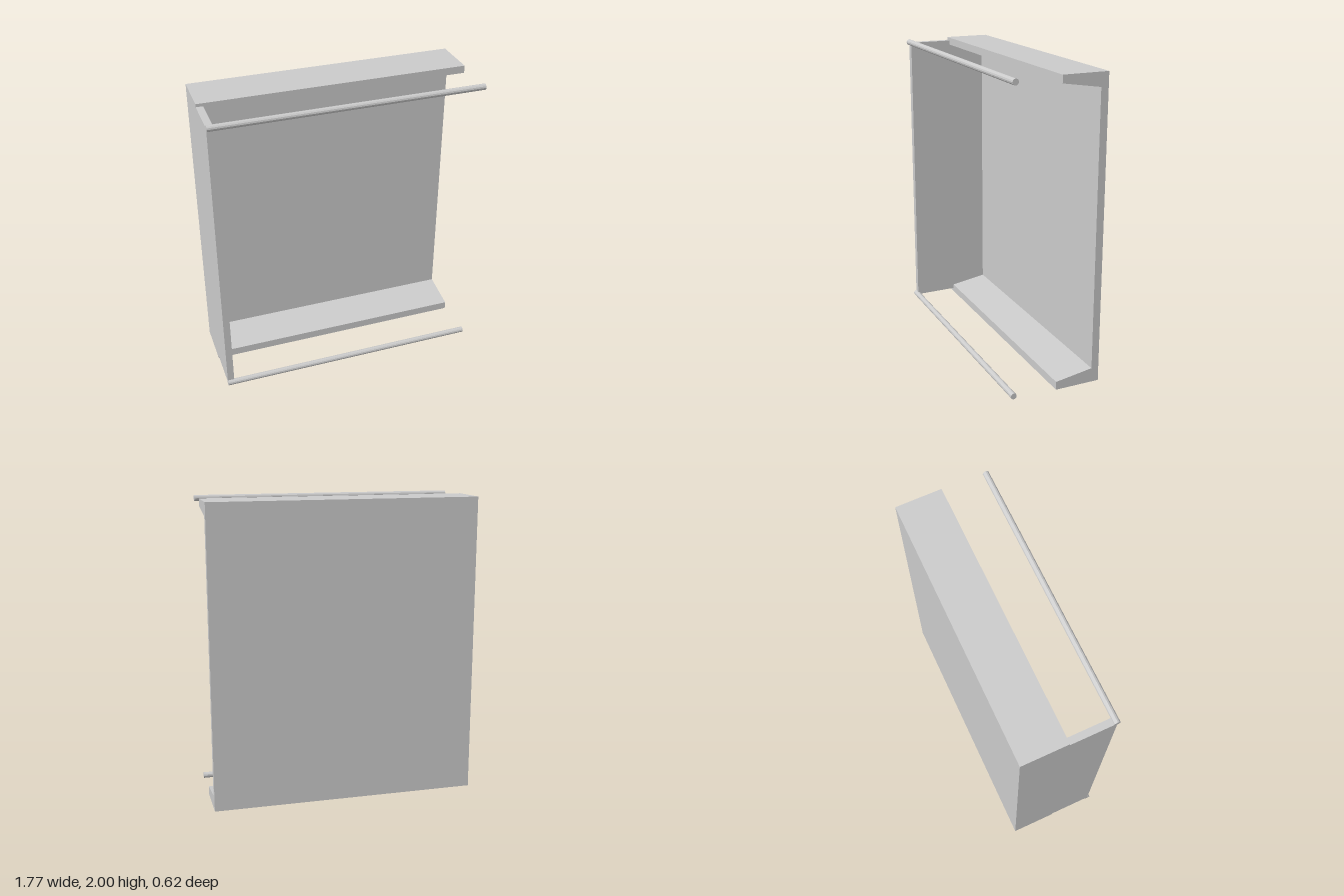
import * as THREE from 'three';

const HALF_WIDTH = 0.885;
const material = new THREE.MeshStandardMaterial({ color: 0xcccccc, flatShading: true });

// Extrudes a [z, y] outline along x, from x0 to x1
function extrudeAlongX(name, outline, x0, x1) {
  const shape = new THREE.Shape(outline.map(([z, y]) => new THREE.Vector2(z, y)));
  const geometry = new THREE.ExtrudeGeometry(shape, { depth: x1 - x0, bevelEnabled: false });
  geometry.rotateY(-Math.PI / 2).translate(x1, 0, 0);
  const mesh = new THREE.Mesh(geometry, material);
  mesh.name = name;
  return mesh;
}

export function createModel() {
  const group = new THREE.Group();
  group.name = 'openCasing';

  // Inner opening of the channel, bottom lip to top lip
  const opening = [[-0.005, 0.055], [-0.26, 0.095], [-0.26, 1.91], [-0.005, 1.95]];

  // Back panel with tapered top and bottom flanges
  group.add(extrudeAlongX('backChannel', [
    [-0.31, 0], [-0.005, 0], ...opening, [-0.005, 2], [-0.31, 2],
  ], -HALF_WIDTH, HALF_WIDTH));

  // Single side plate, filling the channel end and reaching forward to the rods
  group.add(extrudeAlongX('sidePlate', [
    [-0.005, 0.025], ...opening, [-0.005, 1.98], [0.29, 1.98], [0.29, 0.025],
  ], -HALF_WIDTH, -0.84));

  // Front rods
  for (const [name, y] of [['bottomRod', 0.023], ['topRod', 1.98]]) {
    const geometry = new THREE.CylinderGeometry(0.02, 0.02, 2 * HALF_WIDTH, 12);
    geometry.rotateZ(Math.PI / 2);
    const rod = new THREE.Mesh(geometry, material);
    rod.name = name;
    rod.position.set(0, y, 0.29);
    group.add(rod);
  }

  return group;
}
